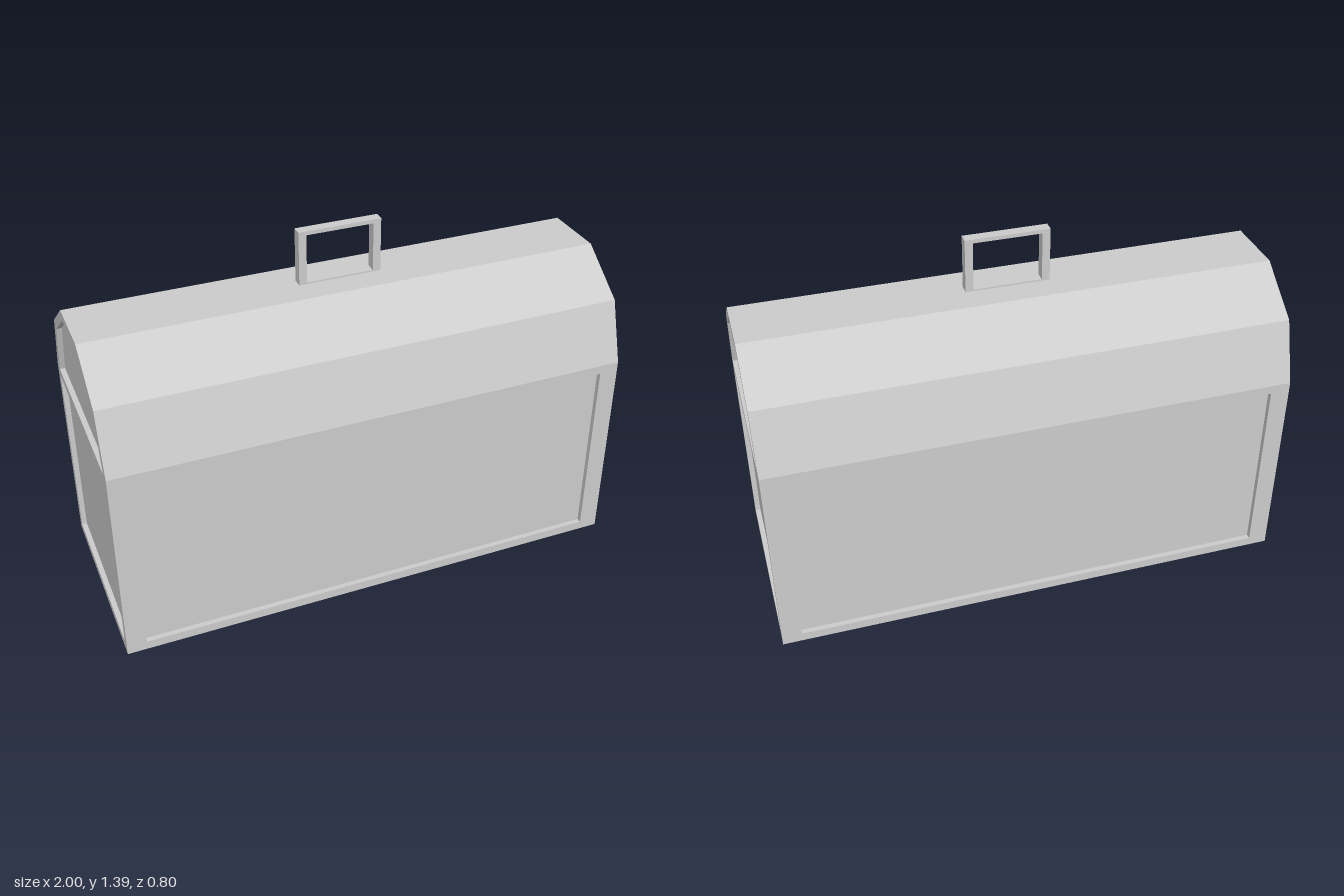
import * as THREE from 'three';

const material = new THREE.MeshStandardMaterial({ color: 0xcccccc, flatShading: true });
const RECESS = 0.02; // depth of every sunken panel

const toShape = (points) => new THREE.Shape(points.map(([x, y]) => new THREE.Vector2(x, y)));

const rectPoints = (halfWidth, bottom, top) => [
  [-halfWidth, bottom], [halfWidth, bottom], [halfWidth, top], [-halfWidth, top],
];

// Extrusion along z, centred on z = 0
function extrude(shape, depth) {
  const geometry = new THREE.ExtrudeGeometry(shape, { depth, bevelEnabled: false });
  return geometry.translate(0, 0, -depth / 2);
}

// Rectangular frame around a rectangular opening
function frame(outer, inner, depth) {
  const shape = toShape(outer);
  shape.holes.push(toShape(inner));
  return extrude(shape, depth);
}

function addMesh(parent, name, geometry) {
  const mesh = new THREE.Mesh(geometry, material);
  mesh.name = name;
  parent.add(mesh);
  return mesh;
}

// Completes a half profile by mirroring it about the centre line
const mirrored = (half) => [...half, ...half.map(([x, y]) => [-x, y]).reverse()];

export function createModel() {
  const model = new THREE.Group();
  model.name = 'toolbox';

  // Body: core whose faces are the sunken panels
  const body = new THREE.Group();
  body.name = 'body';
  model.add(body);
  const core = new THREE.BoxGeometry(2 - 2 * RECESS, 0.8, 0.8 - 2 * RECESS);
  addMesh(body, 'bodyPanels', core.translate(0, 0.4, 0));

  // Raised frames on the four sides; end frames fit between the long ones
  const longFrame = frame(rectPoints(1, 0, 0.8), rectPoints(0.925, 0.035, 0.765), RECESS);
  const endFrame = frame(rectPoints(0.4 - RECESS, 0, 0.8), rectPoints(0.365, 0.035, 0.765), RECESS);
  endFrame.rotateY(Math.PI / 2);
  for (const side of [1, -1]) {
    addMesh(body, side > 0 ? 'frontFrame' : 'backFrame', longFrame).position.z = side * (0.4 - RECESS / 2);
    addMesh(body, side > 0 ? 'leftFrame' : 'rightFrame', endFrame).position.x = side * (1 - RECESS / 2);
  }

  // Faceted lid: arched shell with sunken end panels
  const lid = new THREE.Group();
  lid.name = 'lid';
  model.add(lid);
  const outerArch = mirrored([[0.4, 0.8], [0.325, 1.035], [0.125, 1.18]]);
  const innerArch = mirrored([[0.36, 0.8], [0.295, 1.012], [0.113, 1.145]]);
  const shell = extrude(toShape([...outerArch, ...innerArch.reverse()]), 2);
  addMesh(lid, 'lidShell', shell.rotateY(Math.PI / 2));
  const fill = extrude(toShape(innerArch), 2 - 2 * RECESS);
  addMesh(lid, 'lidEndPanels', fill.rotateY(Math.PI / 2));

  // Carrying handle
  addMesh(model, 'handle', frame(rectPoints(0.16, 1.18, 1.39), rectPoints(0.13, 1.186, 1.375), 0.04));

  return model;
}
